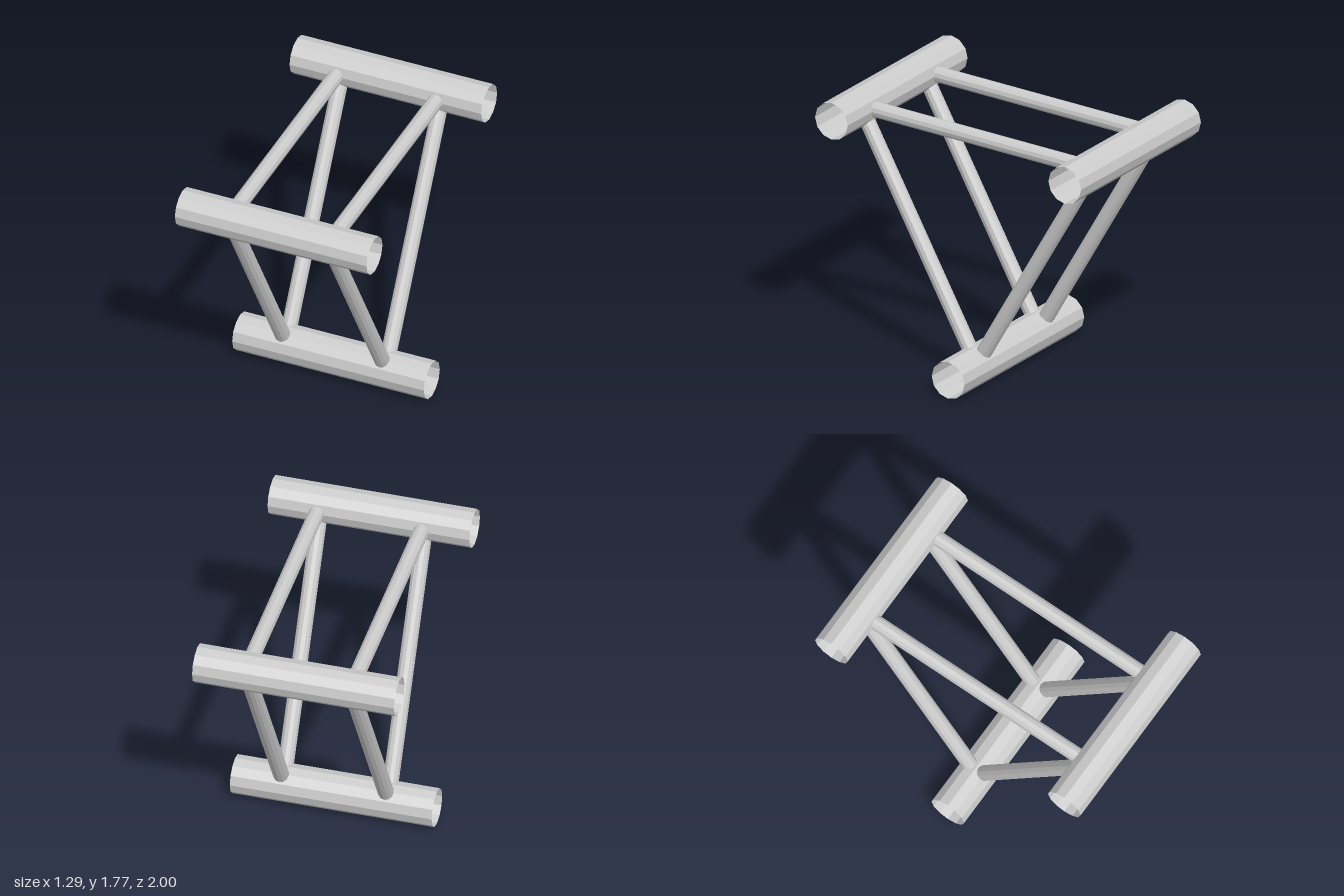
import * as THREE from 'three';

const SIDES = 12;

export function createModel() {
  const model = new THREE.Group();
  model.name = 'triangularTubeFrame';
  const steel = new THREE.MeshStandardMaterial({ color: 0xcccccc, flatShading: true, side: THREE.DoubleSide });
  steel.name = 'light grey steel';

  // Open pipe running between two points
  function pipe(name, from, to, radius) {
    const axis = to.clone().sub(from);
    const geometry = new THREE.CylinderGeometry(radius, radius, axis.length(), SIDES, 1, true);
    const mesh = new THREE.Mesh(geometry, steel);
    mesh.name = name;
    mesh.position.copy(from).add(to).multiplyScalar(0.5);
    mesh.quaternion.setFromUnitVectors(new THREE.Vector3(0, 1, 0), axis.normalize());
    model.add(mesh);
  }

  // Corners of the triangle, as [name, y, z]
  const corners = [
    ['bottom', 0.123, 0],
    ['front', 1.645, 0.877],
    ['back', 1.645, -0.877],
  ];
  const at = (x, [, y, z]) => new THREE.Vector3(x, y, z);

  corners.forEach((corner, i) => {
    // Wide main tube along x
    pipe(`${corner[0]}MainTube`, at(-0.645, corner), at(0.645, corner), 0.123);

    // Pair of thin struts to the next corner
    const next = corners[(i + 1) % corners.length];
    for (const [side, x] of [['left', 0.335], ['right', -0.335]]) {
      pipe(`${side}Strut_${corner[0]}To${next[0]}`, at(x, corner), at(x, next), 0.05);
    }
  });

  return model;
}
